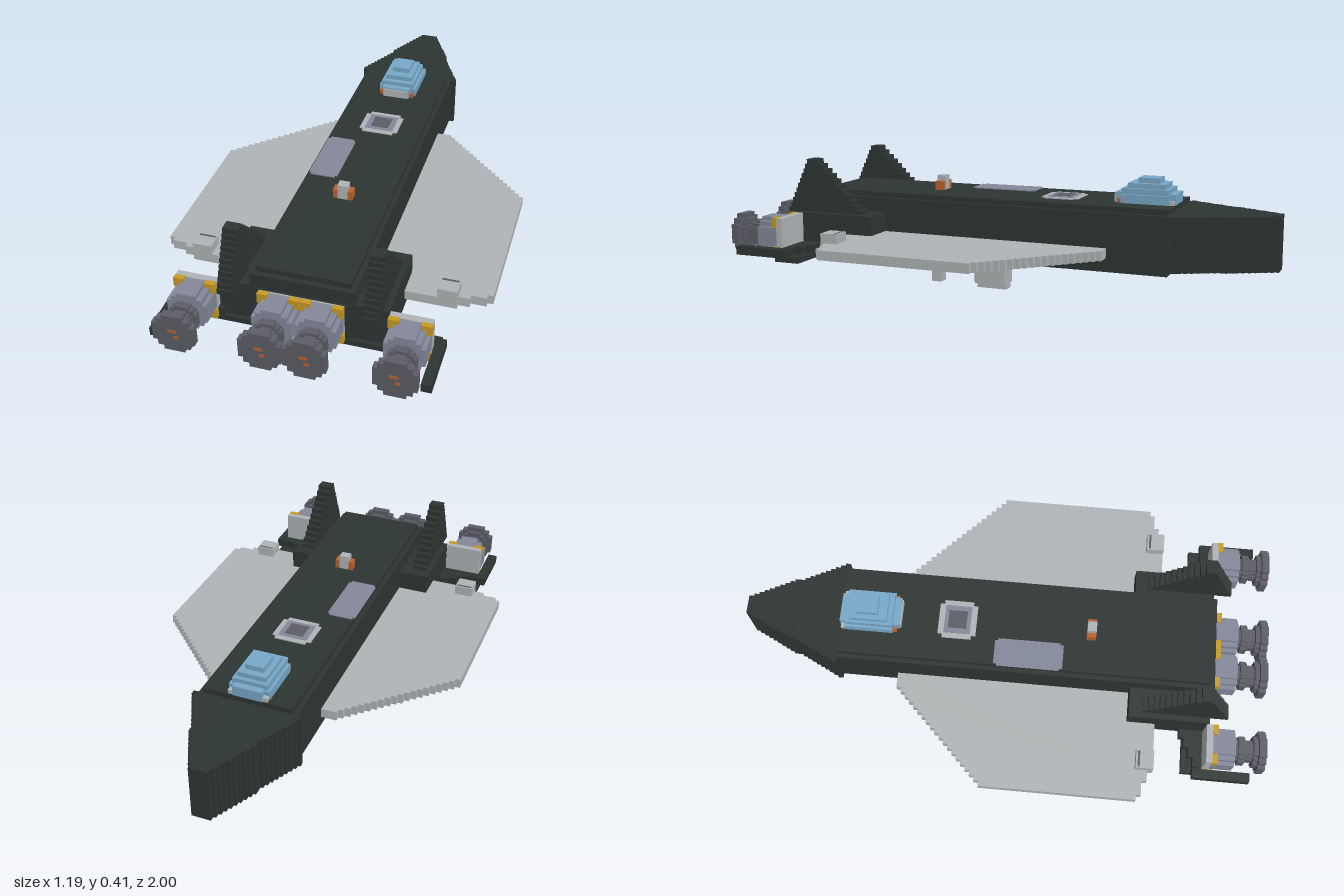
import * as THREE from 'three';

const mat = (name, color) => Object.assign(new THREE.MeshStandardMaterial({ color }), { name });

export function createModel() {
  const hull = mat('dark hull', 0x2d3533);
  const light = mat('light grey', 0xb0b4b6);
  const panel = mat('blue grey', 0x83889a);
  const steel = mat('engine grey', 0x5c5d65);
  const glass = mat('canopy blue', 0x78a8c8);
  const yellow = mat('yellow', 0xc79a22);
  const orange = mat('orange', 0xb9622f);

  const model = new THREE.Group();
  model.name = 'spaceship';
  const group = (name, parent = model) => {
    const g = new THREE.Group();
    g.name = name;
    parent.add(g);
    return g;
  };
  // Box given by its limits on each axis
  const box = (parent, name, m, x0, x1, y0, y1, z0, z1) => {
    const mesh = new THREE.Mesh(new THREE.BoxGeometry(x1 - x0, y1 - y0, z1 - z0), m);
    mesh.position.set((x0 + x1) / 2, (y0 + y1) / 2, (z0 + z1) / 2);
    mesh.name = name;
    parent.add(mesh);
    return mesh;
  };
  // Box given by limits on one side of the model, side = 1 or -1
  const sideBox = (parent, name, m, s, a, b, ...rest) =>
    box(parent, name, m, Math.min(s * a, s * b), Math.max(s * a, s * b), ...rest);

  // Fuselage: wide core with narrower deck and keel
  const body = group('fuselage');
  box(body, 'core', hull, -0.182, 0.182, 0.06, 0.26, -0.64, 0.79);
  box(body, 'deckAndKeel', hull, -0.165, 0.165, 0.04, 0.28, -0.63, 0.77);

  // Stepped wedge nose
  const nose = group('nose');
  for (let i = 0; i < 20; i++) {
    const w = 0.035 + Math.ceil(i * 0.9) * 0.0092;
    box(nose, 'noseStep', hull, -w, w, 0.06, 0.26, -1 + i * 0.0185, -1 + (i + 1) * 0.0185);
  }

  // Domed canopy from stacked layers: halfWidth, y0, y1, z0, z1
  const canopy = group('canopy');
  [
    [0.055, 0.28, 0.318, -0.63, -0.405], [0.075, 0.28, 0.312, -0.61, -0.43],
    [0.065, 0.312, 0.334, -0.605, -0.43], [0.054, 0.334, 0.352, -0.59, -0.45],
    [0.035, 0.352, 0.371, -0.565, -0.485],
  ].forEach(([w, y0, y1, z0, z1]) => box(canopy, 'canopyLayer', glass, -w, w, y0, y1, z0, z1));
  box(canopy, 'rearPanel', light, -0.05, 0.05, 0.28, 0.312, -0.41, -0.4);
  for (const s of [1, -1]) {
    sideBox(canopy, 'canopyLamp', orange, s, 0.055, 0.07, 0.28, 0.296, -0.43, -0.415);
    sideBox(canopy, 'canopyFoot', light, s, 0.055, 0.073, 0.28, 0.296, -0.626, -0.61);
  }

  // Deck details
  const deck = group('deckDetails');
  box(deck, 'hatchFrame', light, -0.075, 0.075, 0.279, 0.284, -0.245, -0.135);
  box(deck, 'hatchFrame', light, -0.06, 0.06, 0.279, 0.2838, -0.262, -0.118);
  box(deck, 'hatchCover', panel, -0.055, 0.055, 0.28, 0.286, -0.24, -0.14);
  box(deck, 'hatchCentre', steel, -0.035, 0.035, 0.28, 0.287, -0.225, -0.155);
  box(deck, 'sidePanel', panel, -0.168, -0.06, 0.279, 0.284, -0.03, 0.205);
  box(deck, 'sidePanel', panel, -0.16, -0.068, 0.279, 0.2838, -0.042, 0.217);
  box(deck, 'beacon', light, -0.019, 0.019, 0.28, 0.336, 0.3, 0.334);
  for (const s of [1, -1])
    sideBox(deck, 'beaconLamp', orange, s, 0.019, 0.036, 0.28, 0.315, 0.3, 0.334);

  // Wing outline with a stair-stepped leading edge
  const wingShape = new THREE.Shape();
  wingShape.moveTo(0.17, -0.41);
  const steps = 19;
  for (let i = 0; i < steps; i++) {
    const x = 0.24 + (i * 0.355) / steps;
    const z = -0.41 + ((i + 1) * 0.35) / steps;
    wingShape.lineTo(x, z - 0.35 / steps);
    wingShape.lineTo(x, z);
  }
  [[0.595, -0.06], [0.595, 0.53], [0.575, 0.53], [0.575, 0.548], [0.52, 0.548], [0.52, 0.567],
    [0.48, 0.567], [0.48, 0.587], [0.17, 0.587]].forEach(([x, z]) => wingShape.lineTo(x, z));
  const wingGeo = new THREE.ExtrudeGeometry(wingShape, { depth: 0.036, bevelEnabled: false });
  wingGeo.rotateX(Math.PI / 2).translate(0, 0.131, 0);

  for (const s of [1, -1]) {
    const side = s > 0 ? 'left' : 'right';
    // Wing with top box and underside pods; half a turn about z mirrors the flat plate
    const wing = group(side + 'Wing');
    const plate = new THREE.Mesh(wingGeo, light);
    plate.name = 'wingPlate';
    if (s < 0) {
      plate.rotation.z = Math.PI;
      plate.position.y = 0.226;
    }
    wing.add(plate);
    sideBox(wing, 'wingBox', light, s, 0.41, 0.48, 0.13, 0.167, 0.52, 0.587);
    sideBox(wing, 'wingBoxVent', steel, s, 0.415, 0.475, 0.13, 0.168, 0.527, 0.535);
    sideBox(wing, 'largePod', light, s, 0.333, 0.41, 0.018, 0.1, -0.11, 0);
    sideBox(wing, 'largePodBase', light, s, 0.35, 0.392, 0, 0.02, -0.11, 0);
    sideBox(wing, 'podGrille', panel, s, 0.337, 0.406, 0.022, 0.09, 0, 0.005);
    sideBox(wing, 'smallPod', light, s, 0.48, 0.518, 0.04, 0.1, 0.08, 0.116);

    // Rear shoulder and stepped engine bracket
    const bracket = group(side + 'EngineBracket');
    sideBox(bracket, 'shoulder', hull, s, 0.15, 0.297, 0.06, 0.205, 0.48, 0.785);
    for (let i = 0; i < 5; i++)
      sideBox(bracket, 'bracketStep', hull, s, 0.28, 0.33 + i * 0.037, 0.06, 0.092, 0.685 + i * 0.0185, 0.8);
    sideBox(bracket, 'bracketArm', hull, s, 0.446, 0.482, 0.06, 0.092, 0.74, 0.957);

    // Tail fin in stacked rows
    const fin = group(side + 'TailFin');
    for (let i = 0; i < 11; i++) {
      const y = 0.2 + i * 0.019;
      sideBox(fin, 'finRow', hull, s, 0.222, 0.276, y, y + 0.019, 0.53 + i * 0.0193, 0.85 - i * 0.0085);
    }
  }
  box(model, 'rearFloor', hull, -0.46, 0.46, 0.04, 0.062, 0.7, 0.8);
  box(model, 'rearBulkhead', hull, -0.165, 0.165, 0.06, 0.205, 0.76, 0.795);

  // Octagonal voxel disc made of three crossed boxes
  const disc = (g, name, m, r, z0, z1) => {
    [[1, 0.5], [0.78, 0.78], [0.5, 1]].forEach(([a, b]) =>
      box(g, name, m, -r * a, r * a, -r * b, r * b, z0, z1));
  };

  // Four engines
  for (const x of [-0.373, -0.075, 0.075, 0.373]) {
    const e = group('engine');
    e.position.set(x, 0.13, 0);
    box(e, 'mountPlate', light, -0.073, 0.073, -0.073, 0.073, 0.775, 0.8);
    disc(e, 'engineBlock', panel, 0.07, 0.8, 0.885);
    disc(e, 'neck', steel, 0.038, 0.88, 0.96);
    disc(e, 'collar', steel, 0.05, 0.9, 0.925);
    disc(e, 'bellThroat', steel, 0.055, 0.955, 0.975);
    disc(e, 'bell', steel, 0.073, 0.972, 1);
    // Corner brackets
    for (const sx of [1, -1]) for (const sy of [1, -1]) {
      const y0 = sy > 0 ? 0.056 : -0.074;
      sideBox(e, 'cornerBracket', yellow, sx, 0.037, 0.074, y0, y0 + 0.018, 0.798, 0.818);
      const v0 = sy > 0 ? 0.037 : -0.056;
      sideBox(e, 'cornerBracket', yellow, sx, 0.056, 0.074, v0, v0 + 0.019, 0.798, 0.818);
    }
    // Glowing core
    box(e, 'coreGlow', orange, -0.018, 0.012, 0.005, 0.017, 0.995, 1.001);
    box(e, 'coreGlow', orange, 0, 0.018, -0.02, -0.008, 0.995, 1.001);
  }
  return model;
}
